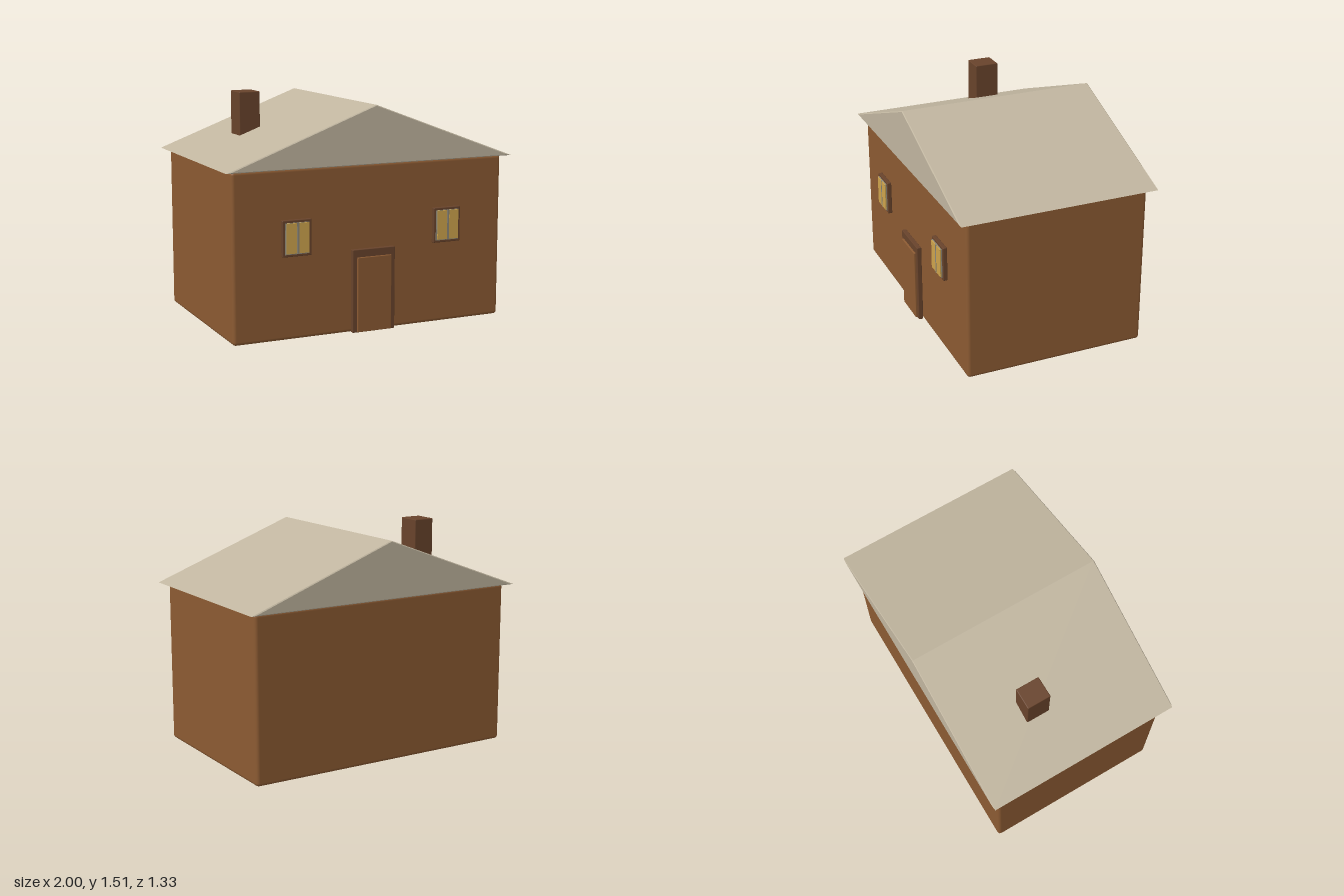
import * as THREE from 'three';
import { RoundedBoxGeometry } from 'three/addons/geometries/RoundedBoxGeometry.js';
import { ConvexGeometry } from 'three/addons/geometries/ConvexGeometry.js';

const material = (name, color) => {
  const m = new THREE.MeshStandardMaterial({ color });
  m.name = name;
  return m;
};

export function createModel() {
  const wall = material('wall brown', 0x8b5a32);
  const trim = material('dark brown trim', 0x68432b);
  const roofing = material('beige roof', 0xc0b59f);
  const gold = material('golden glass', 0xcda34c);
  const metal = material('grey glazing bar', 0x8c8778);

  const house = new THREE.Group();
  house.name = 'house';

  const add = (parent, name, geometry, mat) => {
    const mesh = new THREE.Mesh(geometry, mat);
    mesh.name = name;
    parent.add(mesh);
    return mesh;
  };

  // Box given by its lower and upper limits on each axis
  const box = (parent, name, mat, [x0, x1], [y0, y1], [z0, z1], radius = 0) => {
    const size = [x1 - x0, y1 - y0, z1 - z0];
    const geometry = radius
      ? new RoundedBoxGeometry(...size, 3, radius)
      : new THREE.BoxGeometry(...size);
    const mesh = add(parent, name, geometry, mat);
    mesh.position.set((x0 + x1) / 2, (y0 + y1) / 2, (z0 + z1) / 2);
    return mesh;
  };

  // Walls with softened edges
  box(house, 'walls', wall, [-0.95, 0.95], [0, 1.09], [-0.61, 0.61], 0.022);

  // Gabled roof: full triangle along the length, slightly inset at both gables
  const roofPoints = [];
  const section = (halfWidth, eave, ridge, z) => {
    for (const [x, y] of [[-halfWidth, eave], [halfWidth, eave], [0, ridge]]) {
      roofPoints.push(new THREE.Vector3(x, y, z), new THREE.Vector3(x, y, -z));
    }
  };
  section(1, 1.09, 1.465, 0.66);
  section(0.968, 1.095, 1.459, 0.665);
  add(house, 'roof', new ConvexGeometry(roofPoints), roofing);

  // Chimney on the right-hand slope
  box(house, 'chimney', trim, [-0.645, -0.5], [1.15, 1.51], [-0.217, -0.055], 0.006);

  // Door with its frame
  box(house, 'doorFrame', trim, [-0.15, 0.15], [0.002, 0.545], [0.612, 0.643], 0.004);
  box(house, 'door', wall, [-0.12, 0.12], [0.005, 0.495], [0.635, 0.655], 0.004);

  // Two windows, each with a frame, two panes and glazing bars
  for (const side of [-1, 1]) {
    const win = new THREE.Group();
    win.name = side < 0 ? 'rightWindow' : 'leftWindow';
    win.position.x = side * 0.532;
    house.add(win);
    box(win, 'windowFrame', trim, [-0.098, 0.098], [0.54, 0.772], [0.612, 0.641], 0.005);
    box(win, 'glazingBacking', metal, [-0.083, 0.081], [0.556, 0.756], [0.64, 0.647]);
    for (const x of [-0.041, 0.043]) {
      box(win, 'windowPane', gold, [x - 0.034, x + 0.034], [0.562, 0.754], [0.646, 0.654]);
    }
    box(win, 'centreBar', metal, [-0.006, 0.008], [0.558, 0.756], [0.646, 0.655]);
  }

  return house;
}
